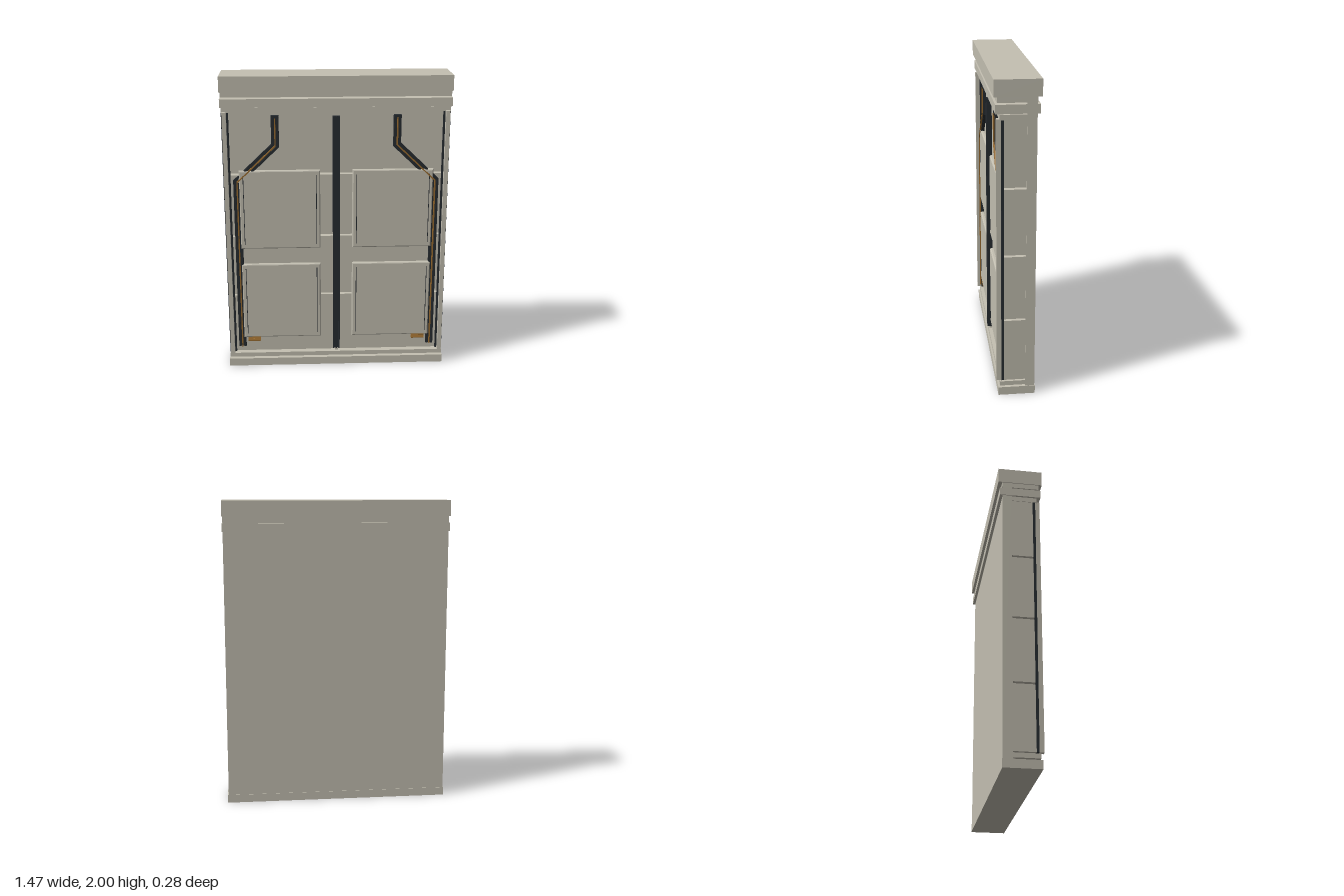
import * as THREE from 'three';

const stone = new THREE.MeshStandardMaterial({ color: 0xc4c0b2, flatShading: true });
const dark = new THREE.MeshStandardMaterial({ color: 0x272c31, flatShading: true });
const brass = new THREE.MeshStandardMaterial({ color: 0x9a6c30, flatShading: true });

// Box given by its limits on each axis
function box(parent, name, mat, [x0, x1], [y0, y1], [z0, z1]) {
  const mesh = new THREE.Mesh(new THREE.BoxGeometry(x1 - x0, y1 - y0, z1 - z0), mat);
  mesh.position.set((x0 + x1) / 2, (y0 + y1) / 2, (z0 + z1) / 2);
  mesh.name = name;
  parent.add(mesh);
}

// Flat strip with mitred bends following a path in the front plane
function strip(parent, name, mat, path, offset, width, [z0, z1]) {
  const pts = path.map(([x, y]) => new THREE.Vector2(x, y));
  const normal = (a, b) => {
    const d = b.clone().sub(a).normalize();
    return new THREE.Vector2(-d.y, d.x);
  };
  const edge = (dist) => pts.map((p, i) => {
    const n0 = normal(pts[Math.max(i - 1, 0)], pts[Math.max(i, 1)]);
    const last = pts.length - 1;
    const n1 = normal(pts[Math.min(i, last - 1)], pts[Math.min(i + 1, last)]);
    const m = n0.clone().add(n1).normalize();
    return p.clone().addScaledVector(m, dist / m.dot(n0));
  });
  const shape = new THREE.Shape([...edge(offset + width / 2), ...edge(offset - width / 2).reverse()]);
  const mesh = new THREE.Mesh(new THREE.ExtrudeGeometry(shape, { depth: z1 - z0, bevelEnabled: false }), mat);
  mesh.position.z = z0;
  mesh.name = name;
  parent.add(mesh);
}

// Square door panel with a bevelled rim
function panel(parent, [x0, x1], [y0, y1]) {
  const b = 0.008;
  const shape = new THREE.Shape([
    new THREE.Vector2(x0 + b, y0 + b), new THREE.Vector2(x1 - b, y0 + b),
    new THREE.Vector2(x1 - b, y1 - b), new THREE.Vector2(x0 + b, y1 - b),
  ]);
  const geo = new THREE.ExtrudeGeometry(shape, {
    depth: 0.014, bevelEnabled: true, bevelThickness: b, bevelSize: b, bevelSegments: 2,
  });
  const mesh = new THREE.Mesh(geo, stone);
  mesh.position.z = 0.082;
  mesh.name = 'raisedPanel';
  parent.add(mesh);
  // Narrow slots near the two upright edges
  for (const x of [x0 + 0.028, x1 - 0.025]) {
    box(parent, 'panelSlot', dark, [x - 0.002, x + 0.002], [y0 + 0.03, y1 - 0.03], [0.1, 0.1045]);
  }
}

export function createModel() {
  const model = new THREE.Group();
  model.name = 'wallPanel';
  const W = 0.73;

  // Back slab and the stacked wall blocks with open joints
  box(model, 'backSlab', stone, [-W, W], [0.05, 1.9], [-0.112, -0.053]);
  const joints = [0.1, 0.515, 0.935, 1.358, 1.766];
  for (let i = 0; i < 4; i++) {
    const y0 = joints[i] + (i ? 0.006 : 0), y1 = joints[i + 1] - (i < 3 ? 0.006 : 0);
    box(model, 'wallBlock', stone, [-0.727, 0.727], [y0, y1], [-0.053, 0.08]);
  }

  // Plinth
  box(model, 'base', stone, [-0.735, 0.735], [0, 0.053], [-0.115, 0.115]);
  box(model, 'baseStep', stone, [-W, W], [0.063, 0.092], [-0.053, 0.105]);

  // Cornice
  box(model, 'corniceLowerStep', stone, [-W, W], [1.766, 1.798], [-0.053, 0.105]);
  box(model, 'corniceBand', stone, [-0.735, 0.735], [1.803, 1.857], [-0.13, 0.13]);
  box(model, 'corniceNeck', stone, [-W, W], [1.866, 1.902], [-0.115, 0.12]);
  box(model, 'corniceCap', stone, [-0.735, 0.735], [1.9, 2], [-0.14, 0.14]);

  // Central ribbed channel
  box(model, 'centreChannel', dark, [-0.023, 0.023], [0.12, 1.74], [0.08, 0.105]);
  for (const x of [-0.018, 0, 0.018]) {
    box(model, 'centreRib', dark, [x - 0.005, x + 0.005], [0.12, 1.74], [0.105, 0.115]);
  }
  box(model, 'centreFoot', stone, [-0.01, 0.01], [0.1, 0.12], [0.08, 0.1]);

  for (const s of [-1, 1]) {
    const side = new THREE.Group();
    side.name = s > 0 ? 'leftHalf' : 'rightHalf';
    model.add(side);
    const span = (a, b) => (s > 0 ? [a, b] : [-b, -a]);

    // Corner post on its dark backing
    box(side, 'postBacking', dark, span(0.685, 0.73), [0.1, 1.766], [0.08, 0.096]);
    box(side, 'cornerPost', stone, span(0.697, 0.724), [0.1, 1.772], [0.096, 0.125]);

    // Door panels
    for (const y of [[0.208, 0.742], [0.852, 1.386]]) panel(side, span(0.105, 0.632), y);

    // Bent conduit with raised edges and a brass core
    const path = [[s * 0.392, 1.74], [s * 0.392, 1.55], [s * 0.643, 1.31], [s * 0.643, 0.14]];
    strip(side, 'conduit', dark, path, 0, 0.05, [0.08, 0.094]);
    for (const o of [-0.016, 0.016]) strip(side, 'conduitEdge', dark, path, o, 0.012, [0.094, 0.101]);
    strip(side, 'conduitCore', brass, path.map(([x, y], i) => [x, i ? y : y - 0.01]), 0, 0.008, [0.094, 0.11]);
    box(side, 'conduitCap', dark, span(0.368, 0.416), [1.722, 1.745], [0.08, 0.105]);

    // Small brass fins below the lower panel
    for (let i = 0; i < 3; i++) {
      const y = 0.178 + i * 0.01;
      box(side, 'brassFin', brass, span(0.518, 0.605), [y, y + 0.006], [0.08, 0.1]);
    }
  }
  return model;
}
